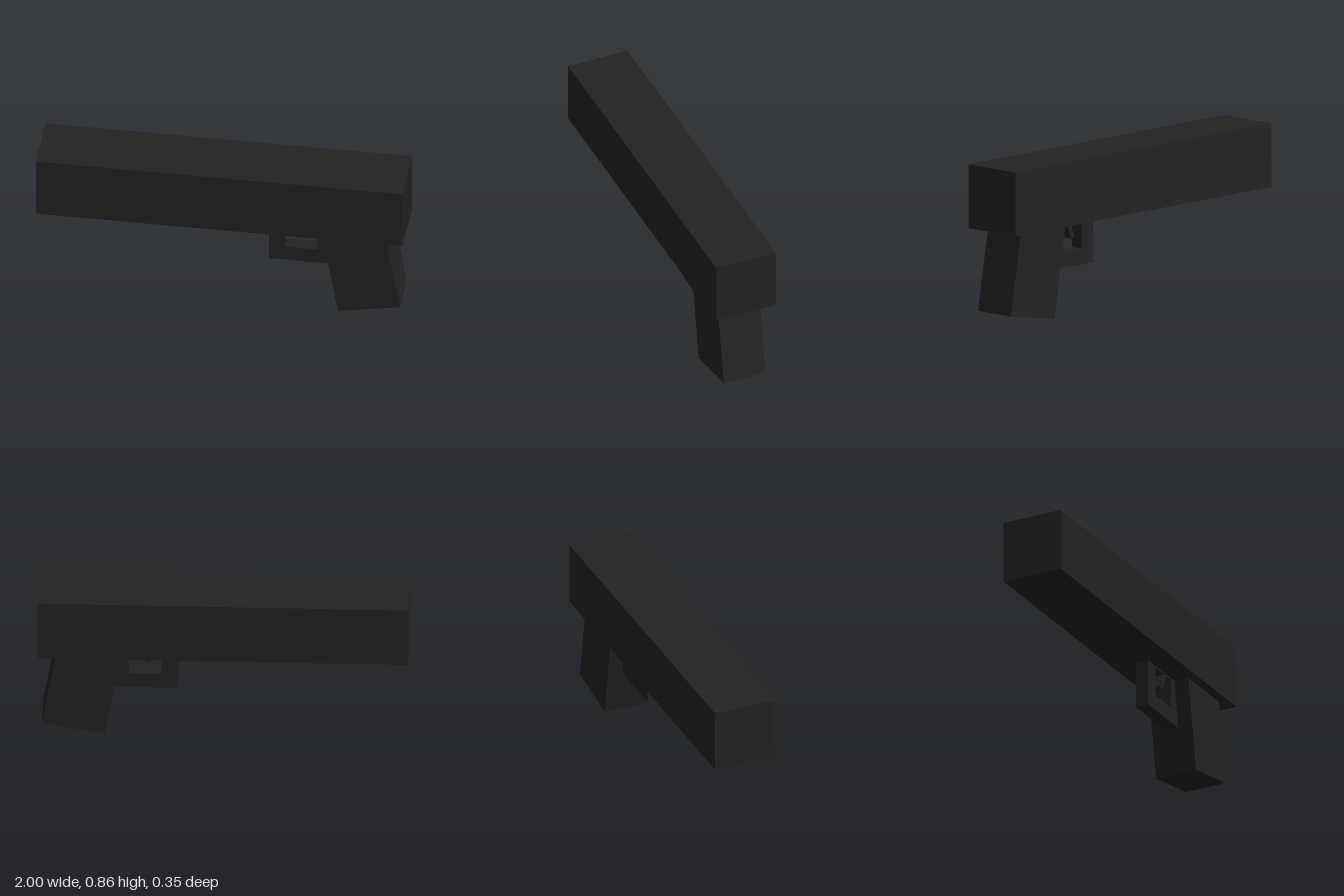
import * as THREE from 'three';

const material = new THREE.MeshStandardMaterial({ color: 0x222222 });

function box(name, w, h, d) {
  const mesh = new THREE.Mesh(new THREE.BoxGeometry(w, h, d), material);
  mesh.name = name;
  return mesh;
}

// Box whose lower left corner sits at (x, y), tilted about that corner
function tiltedBox(name, x, y, w, h, d, angle) {
  const mesh = box(name, w, h, d);
  mesh.geometry.translate(w / 2, h / 2, 0);
  mesh.position.set(x, y, 0);
  mesh.rotation.z = angle;
  return mesh;
}

function rectangle(PathType, x0, y0, x1, y1) {
  return new PathType([[x0, y0], [x1, y0], [x1, y1], [x0, y1]].map(([x, y]) => new THREE.Vector2(x, y)));
}

export function createModel() {
  const model = new THREE.Group();
  model.name = 'blockPistol';

  // Long square upper body
  const body = box('body', 2, 0.35, 0.35);
  body.position.y = 0.685;
  model.add(body);

  // Raked grip, its top sunk into the body
  model.add(tiltedBox('grip', 0.64, 0, 0.345, 0.56, 0.245, THREE.MathUtils.degToRad(10)));

  // Rectangular trigger guard with an open window
  const frame = rectangle(THREE.Shape, 0.25, 0.248, 0.62, 0.53);
  frame.holes.push(rectangle(THREE.Path, 0.335, 0.335, 0.513, 0.502));
  const guardDepth = 0.075;
  const guardGeometry = new THREE.ExtrudeGeometry(frame, { depth: guardDepth, bevelEnabled: false });
  guardGeometry.translate(0, 0, -guardDepth / 2);
  const guard = new THREE.Mesh(guardGeometry, material);
  guard.name = 'triggerGuard';
  model.add(guard);

  // Slanted trigger blade
  model.add(tiltedBox('trigger', 0.393, 0.411, 0.025, 0.14, 0.07, THREE.MathUtils.degToRad(-25)));

  return model;
}
